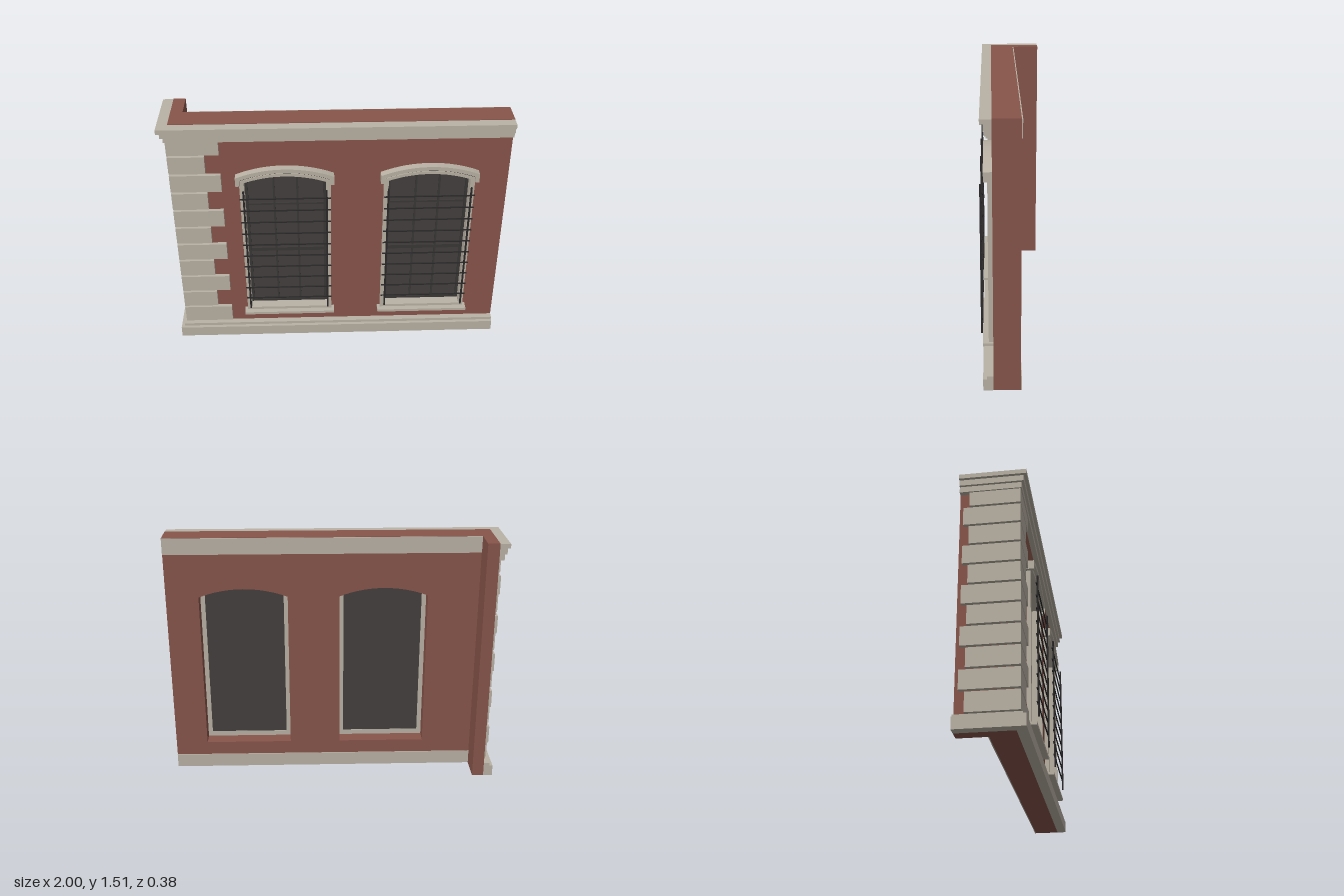
import * as THREE from 'three';

const mat = (name, color) => {
  const m = new THREE.MeshStandardMaterial({ color });
  m.name = name;
  return m;
};

// wall planes
const LEFT = -0.94, RIGHT = 1, FRONT = 0.125, BACK = -0.022, RETURN_BACK = -0.19;
const ARC_Y = 0.469; // shared centre height of all window arcs

// points along an arch of radius r, from x = h to x = -h (or back again)
function arcPoints(cx, h, r, reverse = false) {
  const a = Math.asin(h / r), pts = [];
  for (let i = 0; i <= 16; i++) {
    const t = (reverse ? -1 : 1) * (a - (2 * a * i) / 16);
    pts.push(new THREE.Vector2(cx + r * Math.sin(t), ARC_Y + r * Math.cos(t)));
  }
  return pts;
}

// closed, anticlockwise arched outline with a flat bottom
const archOutline = (cx, h, y0, r) => [
  new THREE.Vector2(cx + h, y0), ...arcPoints(cx, h, r), new THREE.Vector2(cx - h, y0),
];

// arched ring around an opening
function archRing(h1, y1, r1, h0, y0, r0) {
  const s = new THREE.Shape(archOutline(0, h1, y1, r1));
  s.holes.push(new THREE.Path(archOutline(0, h0, y0, r0)));
  return s;
}

// curved band lying between two arches
const archBand = (h1, r1, h0, r0) => new THREE.Shape([
  ...arcPoints(0, h1, r1), ...arcPoints(0, h0, r0, true),
]);

export function createModel() {
  const brick = mat('brick red', 0x88554a);
  const stone = mat('warm stone', 0xbab2a5);
  const glass = mat('dark glass', 0x43403e);
  const iron = mat('black iron', 0x2a2828);
  const sash = mat('charcoal sash', 0x3b3837);

  const model = new THREE.Group();
  model.name = 'cornerWall';

  const add = (parent, name, geo, material) => {
    const m = new THREE.Mesh(geo, material);
    m.name = name;
    parent.add(m);
    return m;
  };
  const box = (parent, name, material, x0, x1, y0, y1, z0, z1) => {
    const m = add(parent, name, new THREE.BoxGeometry(x1 - x0, y1 - y0, z1 - z0), material);
    m.position.set((x0 + x1) / 2, (y0 + y1) / 2, (z0 + z1) / 2);
  };
  const slab = (parent, name, material, shape, z0, z1) => {
    const geo = new THREE.ExtrudeGeometry(shape, { depth: z1 - z0, bevelEnabled: false });
    add(parent, name, geo, material).position.z = z0;
  };

  // brick wall with two arched openings, and the short return at the corner
  const windows = [-0.3, 0.54];
  const wall = new THREE.Shape([[LEFT, 0], [RIGHT, 0], [RIGHT, 1.51], [LEFT, 1.51]]
    .map(([x, y]) => new THREE.Vector2(x, y)));
  windows.forEach((x) => wall.holes.push(new THREE.Path(archOutline(x, 0.265, 0.17, 0.726))));
  slab(model, 'wall', brick, wall, BACK, FRONT);
  box(model, 'returnWall', brick, LEFT, -0.87, 0, 1.51, RETURN_BACK, BACK);

  // stone courses run along the front and round the corner
  const course = (name, y0, y1, d) => {
    const g = new THREE.Group();
    g.name = name;
    model.add(g);
    box(g, name + 'Front', stone, LEFT - d, RIGHT, y0, y1, FRONT, FRONT + d);
    box(g, name + 'Side', stone, LEFT - d, LEFT, y0, y1, RETURN_BACK, FRONT);
  };
  course('plinth', 0, 0.067, 0.056);
  course('plinthStep', 0.067, 0.085, 0.036);
  course('corniceLower', 1.41, 1.445, 0.03);
  course('corniceMiddle', 1.445, 1.48, 0.044);
  course('corniceTop', 1.48, 1.507, 0.061);

  // plain stone bands on the back
  box(model, 'backBaseBand', stone, -0.87, RIGHT, 0, 0.085, BACK - 0.006, BACK);
  box(model, 'backTopBand', stone, -0.87, RIGHT, 1.41, 1.508, BACK - 0.006, BACK);

  // quoins: long on the front where they are short on the side
  const quoins = new THREE.Group();
  quoins.name = 'quoins';
  model.add(quoins);
  for (let i = 0; i < 11; i++) {
    const wide = i % 2 === 0, y = 0.1 + i * 0.1222, top = Math.min(y + 0.11, 1.41);
    box(quoins, 'quoinFront', stone, LEFT - 0.022, wide ? -0.667 : -0.752, y, top, FRONT, FRONT + 0.024);
    box(quoins, 'quoinSide', stone, LEFT - 0.022, LEFT, y, top, wide ? -0.135 : -0.168, FRONT);
  }

  // barred windows
  for (const x of windows) {
    const w = new THREE.Group();
    w.name = 'window';
    w.position.x = x;
    model.add(w);

    // stone surround
    slab(w, 'frame', stone, archRing(0.265, 0.185, 0.7259, 0.238, 0.202, 0.709), 0.065, 0.15);
    box(w, 'sill', stone, -0.282, 0.282, 0.168, 0.185, 0.065, 0.182);

    // glazing with slim glazing bars
    slab(w, 'pane', glass, new THREE.Shape(archOutline(0, 0.238, 0.202, 0.709)), 0.067, 0.075);
    slab(w, 'sashRim', sash, archRing(0.238, 0.202, 0.709, 0.222, 0.218, 0.693), 0.075, 0.089);
    for (const s of [-1, 1]) box(w, 'glazingBar', sash, s * 0.069 - 0.006, s * 0.069 + 0.006, 0.21, 1.15, 0.075, 0.085);
    for (const [y, t] of [[0.61, 0.012], [0.945, 0.006]]) {
      box(w, 'crossBar', sash, -0.225, 0.225, y - t, y + t, 0.075, 0.086);
    }

    // hood mould: arch with dropped ends, shadow groove and inner lip
    slab(w, 'hood', stone, archBand(0.285, 0.766, 0.262, 0.742), FRONT, 0.172);
    for (const s of [-1, 1]) box(w, 'hoodDrop', stone, s * 0.2735 - 0.0115, s * 0.2735 + 0.0115, 1.125, 1.18, FRONT, 0.172);
    slab(w, 'hoodGroove', sash, archBand(0.262, 0.742, 0.262, 0.729), FRONT, 0.152);
    slab(w, 'hoodLip', stone, archBand(0.262, 0.729, 0.25, 0.71), FRONT, 0.157);

    // iron grille
    for (const s of [-1, 1]) box(w, 'grilleUpright', iron, s * 0.241 - 0.005, s * 0.241 + 0.005, 0.23, 1.1, 0.182, 0.192);
    for (let i = 0; i < 10; i++) {
      const y = 0.305 + i * 0.082;
      box(w, 'grilleRail', iron, -0.265, 0.265, y - 0.003, y + 0.003, 0.179, 0.186);
    }
  }
  return model;
}
